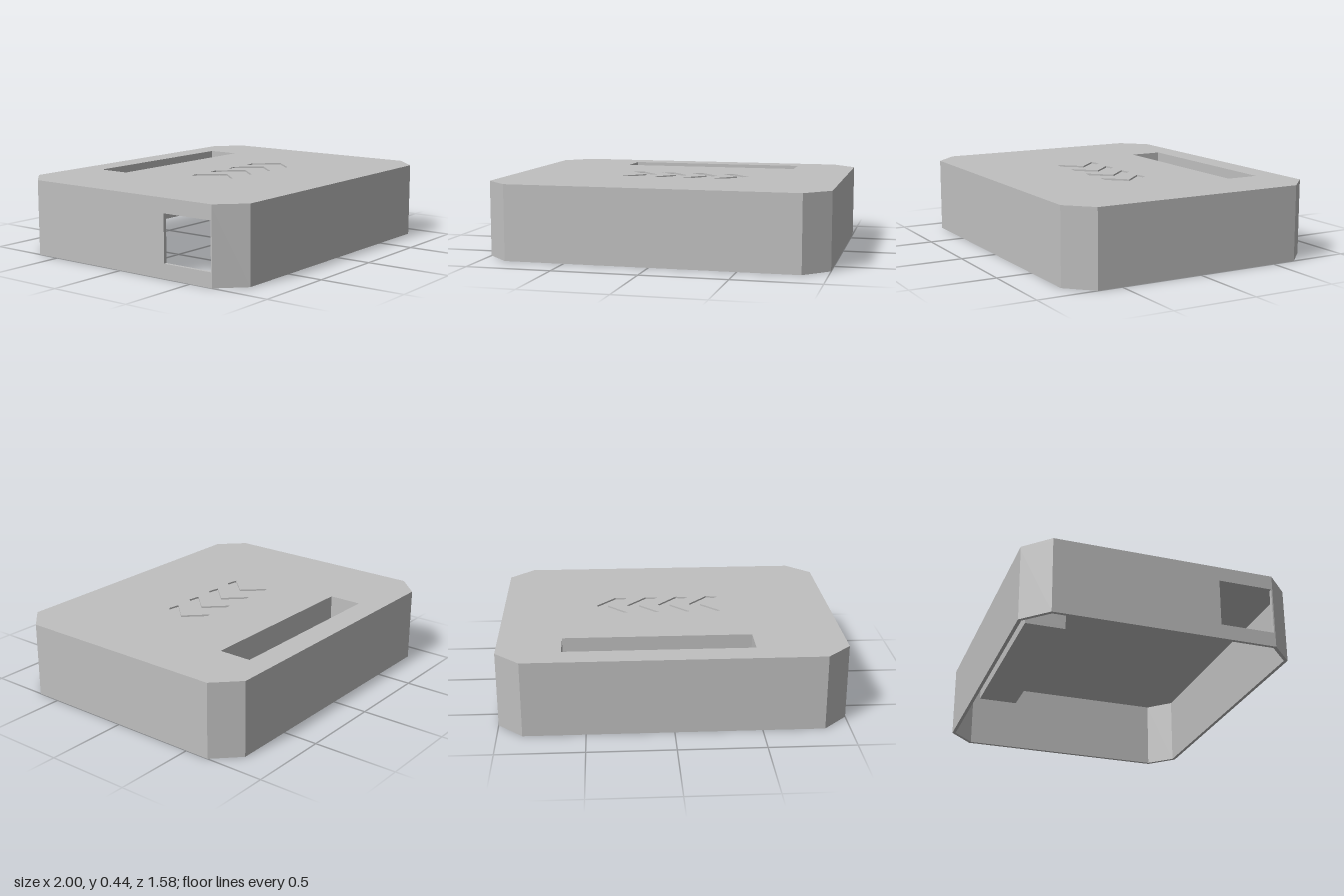
import * as THREE from 'three';

const W = 1, D = 0.79, H = 0.445;   // half width, half depth, height
const CUT = 0.143, T = 0.02;        // corner cut, wall thickness

const vecs = (pts) => pts.map(([x, y]) => new THREE.Vector2(x, y));
const rect = (x0, x1, y0, y1) => [[x0, y0], [x1, y0], [x1, y1], [x0, y1]];

// Rectangle with cut corners; the list starts and ends on the -x side
function octagon(w, d, c) {
  return [[-w, d - c], [-w + c, d], [w - c, d], [w, d - c],
    [w, -d + c], [w - c, -d], [-w + c, -d], [-w, -d + c]];
}

function extrude(outline, holes, depth) {
  const shape = new THREE.Shape(vecs(outline));
  holes.forEach((h) => shape.holes.push(new THREE.Path(vecs(h))));
  return new THREE.ExtrudeGeometry(shape, { depth, bevelEnabled: false });
}

// Plan outline (x, -z) raised from y0 to y1
const slab = (outline, holes, y0, y1) =>
  extrude(outline, holes, y1 - y0).rotateX(-Math.PI / 2).translate(0, y0, 0);

export function createModel() {
  const group = new THREE.Group();
  const grey = new THREE.MeshStandardMaterial({ color: 0xbfbfbf });
  grey.name = 'grey plastic';
  const add = (name, geometry) => {
    const mesh = new THREE.Mesh(geometry, grey);
    mesh.name = name;
    group.add(mesh);
  };

  const outer = octagon(W, D, CUT);
  const inner = octagon(W - T, D - T, CUT - T * (2 - Math.SQRT2));
  const slot = rect(-0.47, 0.63, 0.44, 0.64);
  const lidBottom = H - T, engraving = H - 0.01;

  // Walls: all sides but the left-hand end, which has the port opening
  add('walls', slab([...outer, ...inner.slice().reverse()], [], 0, lidBottom));
  const port = rect(0.32, 0.64, 0.085, 0.36);
  add('portWall', extrude(rect(-D + CUT, D - CUT, 0, lidBottom), [port], T)
    .rotateY(-Math.PI / 2).translate(-W + T, 0, 0));

  // Lid in two layers, so the row of arrows is sunk into the top
  const chevrons = [];
  for (let i = 0; i < 4; i++) {
    const x = -0.137 + i * 0.19, y = -0.08;
    chevrons.push([[x, y], [x - 0.12, y + 0.137], [x - 0.192, y + 0.125],
      [x - 0.072, y], [x - 0.192, y - 0.125], [x - 0.12, y - 0.137]]);
  }
  add('lidBase', slab(outer, [slot], lidBottom, engraving));
  add('lidTop', slab(outer, [slot, ...chevrons], engraving, H));

  // Closed pocket hanging under the slot
  const pocket = rect(-0.47 - T, 0.63 + T, 0.44 - T, 0.64 + T);
  add('slotPocketWalls', slab(pocket, [slot], 0.2, lidBottom));
  add('slotPocketFloor', slab(pocket, [], 0.18, 0.2));

  return group;
}
